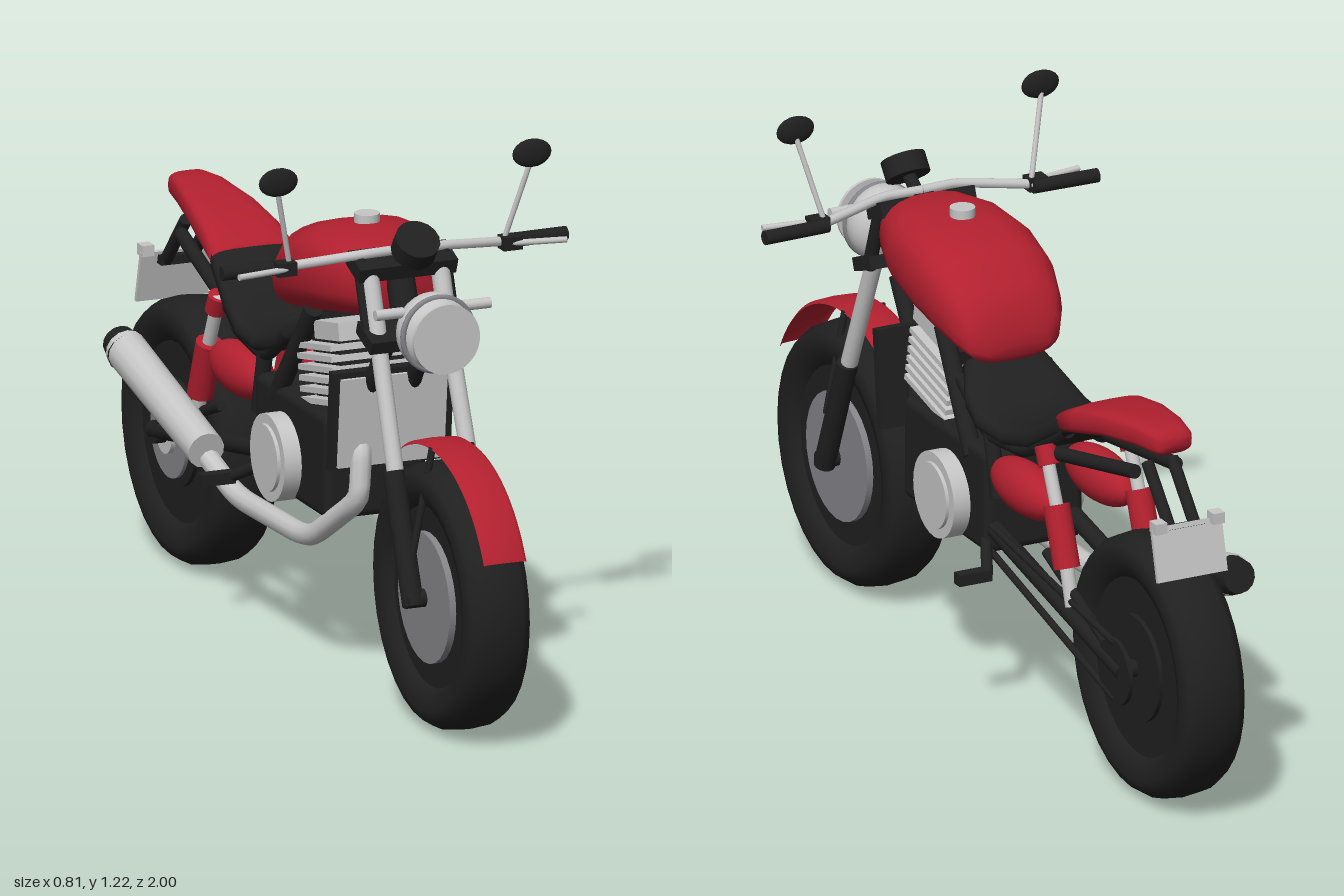
import * as THREE from 'three';
import { RoundedBoxGeometry } from 'three/addons/geometries/RoundedBoxGeometry.js';

const mat = (name, color) => new THREE.MeshStandardMaterial({ name, color, side: THREE.DoubleSide });
const V = (p) => new THREE.Vector3(...p);

export function createModel() {
  const root = new THREE.Group();
  root.name = 'motorcycle';
  const red = mat('red paint', 0xb3202f), black = mat('black', 0x202020);
  const silver = mat('silver', 0xc6c6c6), grey = mat('disc grey', 0x85858a);

  const add = (name, geo, m, pos = [0, 0, 0], rot = [0, 0, 0], parent = root) => {
    const mesh = new THREE.Mesh(geo, m);
    mesh.name = name;
    mesh.position.set(...pos);
    mesh.rotation.set(...rot);
    parent.add(mesh);
    return mesh;
  };
  const box = (name, size, m, pos, rot) => add(name, new THREE.BoxGeometry(...size), m, pos, rot);
  // Straight round bar between two points
  const bar = (name, a, b, r, m, r2 = r) => {
    const p = V(a), d = V(b).sub(p);
    const mesh = add(name, new THREE.CylinderGeometry(r2, r, d.length(), 14), m);
    mesh.position.copy(p).addScaledVector(d, 0.5);
    mesh.quaternion.setFromUnitVectors(new THREE.Vector3(0, 1, 0), d.normalize());
    return mesh;
  };
  // Bent tube through points, with straight runs and short corners
  const pipe = (name, pts, r, m) => {
    const path = new THREE.CurvePath(), v = pts.map(V);
    let last = v[0];
    for (let i = 1; i < v.length - 1; i++) {
      const a = v[i].clone().lerp(v[i - 1], 0.2), b = v[i].clone().lerp(v[i + 1], 0.2);
      path.add(new THREE.LineCurve3(last, a));
      path.add(new THREE.QuadraticBezierCurve3(a, v[i], b));
      last = b;
    }
    path.add(new THREE.LineCurve3(last, v[v.length - 1]));
    return add(name, new THREE.TubeGeometry(path, 40, r, 10), m);
  };
  // Disc with its axis along x
  const disc = (name, r, w, m, pos, r2 = r) =>
    add(name, new THREE.CylinderGeometry(r2, r, w, 28), m, pos, [0, 0, -Math.PI / 2]);
  // Body lofted front to back from sections [z, bottom, top, half width]
  const loft = (name, sections, power, m) => {
    const n = 24, pos = [], idx = [];
    const soft = (t) => Math.sign(t) * Math.abs(t) ** power;
    for (const [z, lo, hi, w] of sections) for (let j = 0; j < n; j++) {
      const a = j / n * Math.PI * 2;
      pos.push(w * soft(Math.cos(a)), (lo + hi) / 2 + (hi - lo) / 2 * soft(Math.sin(a)), z);
    }
    const last = (sections.length - 1) * n, c = last + n;
    for (const s of [sections[0], sections[sections.length - 1]]) pos.push(0, (s[1] + s[2]) / 2, s[0]);
    for (let j = 0; j < n; j++) {
      const k = (j + 1) % n;
      for (let i = 0; i < last; i += n) idx.push(i + j, i + n + j, i + k, i + k, i + n + j, i + n + k);
      idx.push(c, j, k, c + 1, last + k, last + j);
    }
    const g = new THREE.BufferGeometry();
    g.setAttribute('position', new THREE.Float32BufferAttribute(pos, 3));
    g.setIndex(idx);
    g.computeVertexNormals();
    return add(name, g, m);
  };
  const spin = (pts, seg, start, len) =>
    new THREE.LatheGeometry(pts.map(([r, y]) => new THREE.Vector2(r, y)), seg, start, len).rotateZ(-Math.PI / 2);

  // Wheels
  const tyre = [[0.2, -0.05], [0.215, -0.066], [0.25, -0.077], [0.275, -0.068], [0.29, -0.045], [0.295, 0],
    [0.29, 0.045], [0.275, 0.068], [0.25, 0.077], [0.215, 0.066], [0.2, 0.05]];
  for (const [side, z] of [['front', 0.695], ['rear', -0.705]]) {
    add(side + 'Tyre', spin(tyre, 32), black, [0, 0.295, z]);
    disc(side + 'Rim', 0.204, 0.1, black, [0, 0.295, z]);
    disc(side + 'Axle', 0.02, 0.22, black, [0, 0.295, z]);
  }
  disc('frontBrakeDisc', 0.145, 0.13, grey, [0, 0.295, 0.695]);
  disc('rearHub', 0.12, 0.12, black, [0, 0.295, -0.705]);
  disc('rearBrakeDisc', 0.1, 0.008, grey, [-0.07, 0.295, -0.705]);
  disc('rearBrakeHub', 0.045, 0.02, silver, [-0.075, 0.295, -0.705]);
  disc('rearSprocket', 0.075, 0.01, black, [0.105, 0.295, -0.705]);

  // Front fender
  add('frontFender', spin([[0.333, -0.05], [0.341, -0.04], [0.343, 0], [0.341, 0.04], [0.333, 0.05]], 24, -2.11, 1.65),
    red, [0, 0.295, 0.695]);

  // Parts found on both sides
  for (const s of [1, -1]) {
    // Fork
    bar('forkLower', [s * 0.092, 0.28, 0.7], [s * 0.092, 0.555, 0.59], 0.024, black);
    bar('forkTube', [s * 0.088, 0.55, 0.592], [s * 0.083, 0.83, 0.48], 0.019, silver);
    bar('forkUpper', [s * 0.083, 0.83, 0.48], [s * 0.083, 0.97, 0.43], 0.021, silver);
    bar('forkSleeve', [s * 0.098, 0.82, 0.475], [s * 0.098, 0.99, 0.415], 0.016, black);
    bar('fenderStay', [s * 0.045, 0.63, 0.695], [s * 0.09, 0.4, 0.695], 0.008, black);
    // Handlebar, grips, levers and mirrors
    pipe('handlebar', [[0, 1.0, 0.42], [s * 0.09, 1.0, 0.425], [s * 0.26, 0.98, 0.385], [s * 0.3, 0.978, 0.378]], 0.011, silver);
    bar('grip', [s * 0.25, 0.978, 0.378], [s * 0.405, 0.978, 0.374], 0.016, black);
    box('leverMount', [0.045, 0.03, 0.035], black, [s * 0.265, 0.98, 0.395]);
    bar('lever', [s * 0.26, 0.98, 0.405], [s * 0.385, 0.98, 0.425], 0.007, silver);
    bar('mirrorStem', [s * 0.252, 0.985, 0.39], [s * 0.298, 1.17, 0.432], 0.006, silver);
    add('mirror', new THREE.SphereGeometry(1, 16, 10), black, [s * 0.298, 1.188, 0.437]).scale.set(0.046, 0.032, 0.012);
    bar('indicator', [s * 0.07, 0.91, 0.59], [s * 0.135, 0.91, 0.59], 0.012, silver);
    // Frame
    bar('downTube', [s * 0.045, 0.8, 0.445], [s * 0.05, 0.68, 0.36], 0.019, black);
    bar('lowerDownTube', [s * 0.05, 0.69, 0.365], [s * 0.09, 0.48, 0.26], 0.017, black);
    bar('mainFrame', [s * 0.09, 0.8, 0.14], [s * 0.105, 0.56, -0.03], 0.021, black);
    pipe('seatRail', [[s * 0.1, 0.72, 0.03], [s * 0.1, 0.635, -0.1], [s * 0.095, 0.65, -0.26], [s * 0.075, 0.75, -0.42]], 0.018, black);
    bar('subframe', [s * 0.1, 0.64, -0.16], [s * 0.05, 0.745, -0.69], 0.016, black);
    bar('rearFrameTube', [s * 0.1, 0.66, -0.1], [s * 0.1, 0.5, -0.14], 0.018, black);
    // Swingarm and shock
    bar('swingarm', [s * 0.095, 0.42, -0.1], [s * 0.098, 0.3, -0.73], 0.02, black);
    bar('swingarmBrace', [s * 0.095, 0.45, -0.36], [s * 0.098, 0.32, -0.7], 0.012, black);
    bar('shockUpper', [s * 0.1, 0.7, -0.36], [s * 0.1, 0.57, -0.42], 0.015, silver);
    bar('shockSpring', [s * 0.1, 0.58, -0.415], [s * 0.1, 0.45, -0.465], 0.03, red);
    bar('shockMount', [s * 0.1, 0.45, -0.465], [s * 0.1, 0.37, -0.49], 0.016, silver);
    bar('shockCap', [s * 0.1, 0.7, -0.36], [s * 0.1, 0.66, -0.38], 0.024, red);
    // Side covers, engine covers and foot pegs
    add('sideCover', new THREE.SphereGeometry(1, 20, 14), red, [s * 0.09, 0.56, -0.255]).scale.set(0.052, 0.058, 0.14);
    disc('engineCover', 0.097, 0.05, silver, [s * 0.135, 0.45, 0.05]);
    disc('engineCoverCap', 0.075, 0.01, silver, [s * 0.163, 0.45, 0.05]);
    box('footPeg', [0.08, 0.026, 0.028], black, [s * 0.182, 0.345, -0.18]);
    bar('pegBracket', [s * 0.1, 0.4, -0.08], [s * 0.148, 0.345, -0.18], 0.013, black);
    bar('plateStay', [s * 0.03, 0.77, -0.71], [s * 0.03, 0.65, -0.82], 0.014, black);
    box('plateLamp', [0.028, 0.025, 0.03], silver, [s * 0.07, 0.672, -0.84]);
    // Chain runs, on the model's left only
    if (s > 0) for (const dy of [-0.065, 0.065])
      bar('chain', [0.105, 0.4 + dy * 0.45, -0.1], [0.105, 0.295 + dy, -0.705], 0.008, black);
  }

  // Steering head, clamps, gauge and headlight
  bar('steeringHead', [0, 0.8, 0.46], [0, 0.99, 0.39], 0.032, black);
  box('upperClamp', [0.23, 0.035, 0.075], black, [0, 0.972, 0.42], [0.36, 0, 0]);
  box('lowerClamp', [0.23, 0.03, 0.085], black, [0, 0.828, 0.48], [0.36, 0, 0]);
  add('gauge', new THREE.CylinderGeometry(0.05, 0.05, 0.045, 16), black, [0, 1.028, 0.495], [0.67, 0, 0]);
  bar('gaugeStem', [0, 0.98, 0.43], [0, 1.02, 0.485], 0.015, black);
  add('headlight', new THREE.SphereGeometry(1, 24, 16), silver, [0, 0.862, 0.598]).scale.set(0.085, 0.088, 0.07);
  add('headlightRim', new THREE.TorusGeometry(0.082, 0.007, 8, 32), grey, [0, 0.862, 0.62]);
  add('headlightLens', new THREE.CylinderGeometry(0.078, 0.078, 0.008, 32), silver, [0, 0.862, 0.666], [Math.PI / 2, 0, 0]);
  bar('headlightMount', [0, 0.86, 0.45], [0, 0.86, 0.56], 0.03, black);

  // Tank, seat and tail
  loft('fuelTank', [[0.41, 0.87, 0.99, 0.09], [0.395, 0.85, 1.003, 0.115], [0.3, 0.825, 1.015, 0.146],
    [0.18, 0.8, 1.01, 0.156], [0.08, 0.78, 0.98, 0.15], [0.01, 0.765, 0.925, 0.132],
    [-0.02, 0.76, 0.875, 0.112], [-0.032, 0.775, 0.825, 0.08]], 0.75, red);
  add('fuelCap', new THREE.CylinderGeometry(0.028, 0.028, 0.025, 16), silver, [0, 1.018, 0.225]);
  loft('seat', [[0.03, 0.7, 0.765, 0.1], [-0.03, 0.66, 0.72, 0.125], [-0.1, 0.64, 0.69, 0.135], [-0.2, 0.64, 0.69, 0.13],
    [-0.3, 0.665, 0.725, 0.115], [-0.41, 0.735, 0.79, 0.1], [-0.45, 0.75, 0.795, 0.08]], 0.55, black);
  loft('tail', [[-0.405, 0.74, 0.795, 0.098], [-0.47, 0.755, 0.828, 0.093], [-0.58, 0.785, 0.852, 0.08],
    [-0.7, 0.802, 0.866, 0.06], [-0.77, 0.806, 0.862, 0.047], [-0.783, 0.815, 0.85, 0.04]], 0.6, red);
  box('numberPlate', [0.17, 0.12, 0.009], silver, [0, 0.61, -0.848], [0.25, 0, 0]);
  box('plateBracket', [0.09, 0.02, 0.03], black, [0, 0.65, -0.825]);

  // Engine with tilted finned cylinder
  add('crankcase', new RoundedBoxGeometry(0.24, 0.235, 0.4, 2, 0.02), black, [0, 0.478, 0.08]);
  const cylinder = new THREE.Group();
  cylinder.name = 'cylinder';
  cylinder.position.set(0, 0.59, 0.205);
  cylinder.rotation.x = -0.21;
  root.add(cylinder);
  add('barrel', new THREE.BoxGeometry(0.15, 0.2, 0.15), black, [0, 0.08, 0], [0, 0, 0], cylinder);
  for (let i = 0; i < 6; i++)
    add('fin', new THREE.BoxGeometry(0.21, 0.013, 0.195), silver, [0, 0.02 + i * 0.024, 0], [0, 0, 0], cylinder);
  add('cylinderHead', new THREE.BoxGeometry(0.18, 0.04, 0.14), silver, [0, 0.175, 0.045], [0, 0, 0], cylinder);

  // Radiator
  box('radiatorFrame', [0.285, 0.225, 0.022], black, [0, 0.61, 0.352], [0.1, 0, 0]);
  box('radiatorCore', [0.25, 0.205, 0.008], silver, [0, 0.605, 0.366], [0.1, 0, 0]);

  // Exhaust
  pipe('exhaustPipe', [[-0.05, 0.6, 0.28], [-0.07, 0.53, 0.36], [-0.08, 0.43, 0.37], [-0.12, 0.3, 0.19],
    [-0.13, 0.295, -0.19], [-0.16, 0.385, -0.36]], 0.024, silver);
  bar('muffler', [-0.16, 0.375, -0.29], [-0.16, 0.485, -0.74], 0.042, silver, 0.046);
  bar('mufflerTip', [-0.16, 0.48, -0.725], [-0.16, 0.493, -0.775], 0.047, black, 0.038);
  return root;
}
